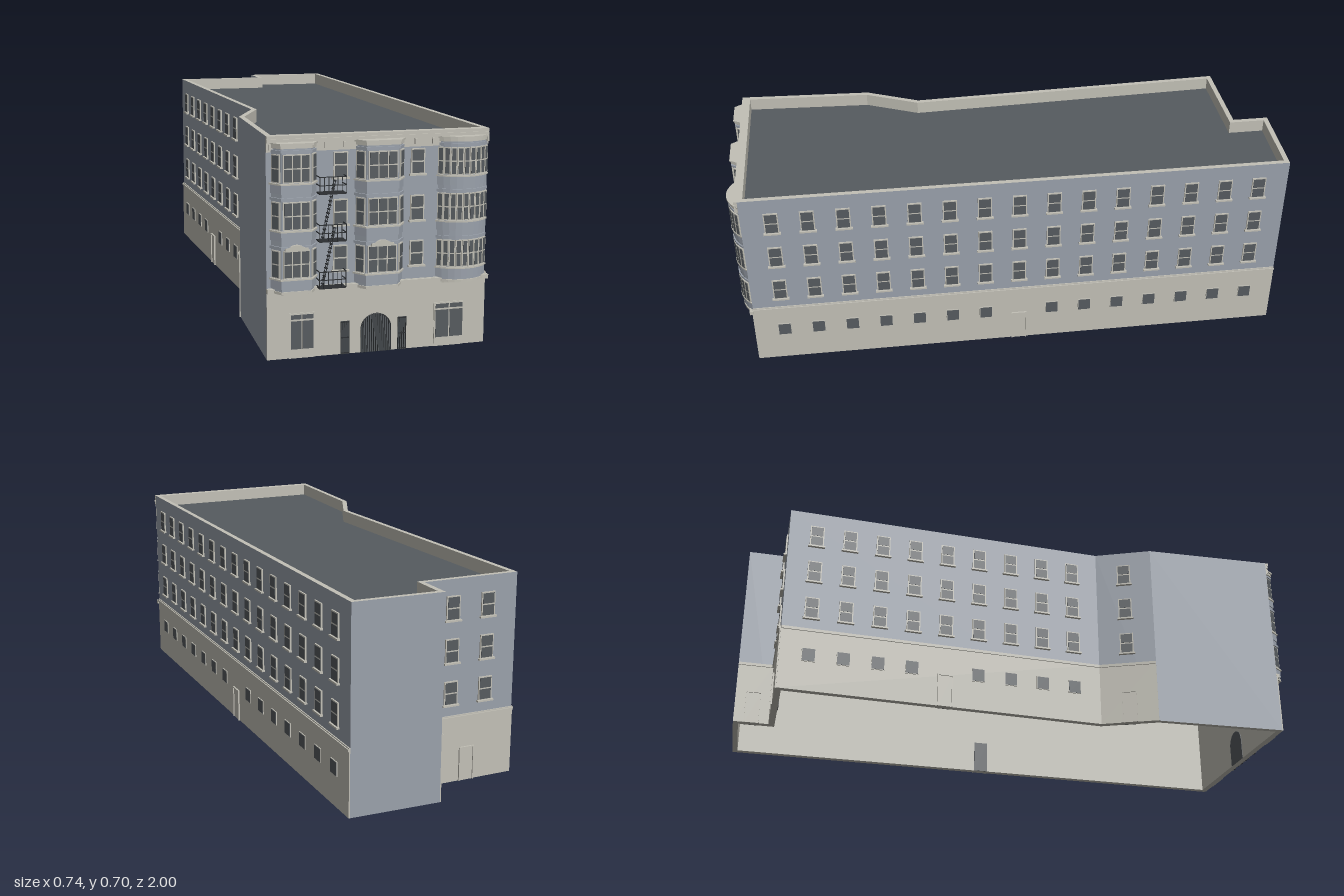
import * as THREE from 'three';

const mat = (name, color) => {
  const m = new THREE.MeshStandardMaterial({ color });
  m.name = name;
  return m;
};
const cream = mat('cream stone', 0xc2c0b6);
const blue = mat('blue grey wall', 0x9aa1ab);
const dark = mat('dark glass and roof', 0x565b5f);
const black = mat('black iron', 0x2b2e31);

const H = 0.7, BASE = 0.235, FRONT = 0.955;
// Footprint corners [x, z], front left corner first, anticlockwise from above
const plan = [[-0.365, FRONT], [0.355, FRONT], [0.36, -0.983], [0.045, -0.998],
  [0.045, -0.868], [-0.298, -0.873], [-0.255, 0.295], [-0.342, 0.485]];

function add(parent, name, geo, material, x = 0, y = 0, z = 0) {
  const m = new THREE.Mesh(geo, material);
  m.name = name;
  m.position.set(x, y, z);
  parent.add(m);
  return m;
}
const box = (p, name, material, w, h, d, x, y, z) =>
  add(p, name, new THREE.BoxGeometry(w, h, d), material, x, y, z);

const group = (parent, name) => {
  const g = new THREE.Group();
  g.name = name;
  parent.add(g);
  return g;
};

const toVec = pts => pts.map(([x, z]) => new THREE.Vector2(x, -z));

// Move every edge of the footprint inwards by d
function inset(pts, d) {
  const n = pts.length;
  return pts.map((p, i) => {
    const a = pts[(i + n - 1) % n], b = pts[(i + 1) % n];
    const u = new THREE.Vector2(p[0] - a[0], p[1] - a[1]).normalize();
    const v = new THREE.Vector2(b[0] - p[0], b[1] - p[1]).normalize();
    const n1 = [u.y, -u.x], n2 = [v.y, -v.x];
    const k = d / (1 + n1[0] * n2[0] + n1[1] * n2[1]);
    return [p[0] + (n1[0] + n2[0]) * k, p[1] + (n1[1] + n2[1]) * k];
  });
}

// Upright prism over a plan outline, optionally hollow
function prism(pts, y0, y1, hole) {
  const s = new THREE.Shape(toVec(pts));
  if (hole) s.holes.push(new THREE.Path(toVec(hole)));
  const g = new THREE.ExtrudeGeometry(s, { depth: y1 - y0, bevelEnabled: false });
  return g.rotateX(-Math.PI / 2).translate(0, y0, 0);
}

// Framed window with a grid of panes; x is its centre, y its bottom
function windowAt(parent, x, y, w, h, cols, rows, { pad = 0.004, bar = 0.005, sill = true, z = 0 } = {}) {
  const g = group(parent, 'window');
  g.position.set(x, y, z);
  box(g, 'windowFrame', cream, w + pad * 2, h + pad * 2, 0.005, 0, h / 2, 0.0025);
  const pw = (w - bar * (cols - 1)) / cols, ph = (h - bar * (rows - 1)) / rows;
  for (let i = 0; i < cols; i++) for (let j = 0; j < rows; j++)
    box(g, 'windowPane', dark, pw, ph, 0.002, -w / 2 + pw / 2 + i * (pw + bar), ph / 2 + j * (ph + bar), 0.005);
  if (sill) box(g, 'windowSill', cream, w + 0.018, 0.006, 0.011, 0, -0.005, 0.0055);
}

// Door with jambs and lintel, dark on the inside
function doorAt(parent, x, w = 0.052, h = 0.118) {
  const g = group(parent, 'door');
  g.position.x = x;
  box(g, 'doorPanel', cream, w, h, 0.006, 0, h / 2, 0.003);
  for (const s of [-1, 1]) box(g, 'doorJamb', cream, 0.004, h, 0.01, s * w / 2, h / 2, 0.005);
  box(g, 'doorLintel', cream, w + 0.004, 0.004, 0.01, 0, h, 0.005);
  box(g, 'doorInside', dark, w, h, 0.002, 0, h / 2, -0.019);
}

// Local frame for one wall: x runs along it, z points outwards
function wallFrame(parent, i, name) {
  const a = plan[i], b = plan[(i + 1) % plan.length];
  const g = group(parent, name);
  g.position.set(a[0], 0, a[1]);
  g.rotation.y = Math.atan2(-(b[1] - a[1]), b[0] - a[0]);
  g.userData.len = Math.hypot(b[0] - a[0], b[1] - a[1]);
  return g;
}

function sideWall(parent, i, name, xs, doors, baseXs) {
  const g = wallFrame(parent, i, name), L = g.userData.len;
  box(g, 'stoneBase', cream, L, BASE, 0.004, L / 2, BASE / 2, 0.002);
  box(g, 'baseLedge', cream, L, 0.008, 0.008, L / 2, BASE - 0.008, 0.004);
  for (const x of xs) for (const y of [0.278, 0.423, 0.567]) windowAt(g, x, y, 0.042, 0.074, 1, 2);
  for (const x of baseXs) windowAt(g, x, 0.11, 0.044, 0.046, 1, 1, { pad: 0.002, sill: false, z: 0.002 });
  for (const x of doors) doorAt(g, x);
}

// Bay with a given plan profile, stacked mouldings and a window on each facet
function bay(parent, name, cx, pts, cols) {
  const g = group(parent, name);
  g.position.x = cx;
  const h = pts[pts.length - 1][0], d = Math.max(...pts.map(p => p[1]));
  const grow = o => pts.map(([x, z]) => [x * (1 + o / h), z * (1 + o / d)]);
  const band = (n, m, y0, y1, o) => add(g, n, prism(grow(o), y0, y1), m);
  band('bayBody', blue, 0.222, 0.672, 0);
  band('bayFoot', cream, 0.209, 0.216, -0.012);
  band('bayFootMoulding', cream, 0.215, 0.223, 0.003);
  for (const y of [0.265, 0.415, 0.56]) {
    band('baySill', cream, y - 0.007, y - 0.002, 0.007);
    band('bayApron', blue, y - 0.034, y - 0.007, 0.003);
    band('bayHead', blue, y + 0.091, y + 0.099, 0.005);
    for (let i = 0; i < pts.length - 1; i++) {
      const [ax, az] = pts[i], [bx, bz] = pts[i + 1];
      const f = group(g, 'bayFacet');
      f.position.set((ax + bx) / 2, 0, (az + bz) / 2);
      f.rotation.y = Math.atan2(az - bz, bx - ax);
      const len = Math.hypot(bx - ax, bz - az), c = cols[i];
      windowAt(f, 0, y + 0.003, len - (c > 1 ? 0.014 : cols.length > 3 ? 0.007 : 0.016), 0.08, c, 2,
        { pad: 0.0033, bar: 0.004, sill: false });
    }
  }
  band('bayCornice', cream, 0.664, 0.674, 0.005);
  band('bayCap', cream, 0.674, 0.68, 0.009);
  return g;
}

// Row of iron bars with height given by a function of x
function bars(parent, x0, x1, n, height, z) {
  for (let i = 0; i <= n; i++) {
    const x = x0 + (x1 - x0) * i / n, h = height(x);
    box(parent, 'ironBar', black, 0.0026, h, 0.003, x, h / 2, z);
  }
}

function facade(parent) {
  const g = group(parent, 'frontFacade');
  g.position.z = FRONT;
  const mid = -0.005, W = 0.72;
  box(g, 'frontBase', cream, W, 0.228, 0.004, mid, 0.114, 0.002);
  box(g, 'frontLedge', cream, 0.73, 0.014, 0.014, 0, 0.22, 0.005);
  box(g, 'frontFrieze', cream, W, 0.05, 0.005, mid, 0.675, 0.0025);
  box(g, 'frontCornice', cream, W, 0.01, 0.01, mid, 0.684, 0.005);
  box(g, 'frontCoping', cream, W, 0.01, 0.012, mid, 0.695, 0.006);
  for (const x of [-0.355, -0.18, -0.12, 0.112, 0.17, 0.352])
    box(g, 'corniceBracket', cream, 0.008, 0.018, 0.012, x, 0.667, 0.006);

  // Flat windows between the bays
  for (const x of [-0.13, 0.121]) for (const y of [0.275, 0.42, 0.567])
    windowAt(g, x, y, 0.038, 0.073, 1, 2);

  // Ground floor shop windows
  for (const [x, w] of [[-0.254, 0.072], [0.234, 0.092]]) {
    box(g, 'shopFrame', cream, w + 0.01, 0.145, 0.006, x, 0.0725, 0.004);
    windowAt(g, x, 0.03, w, 0.09, 2, 1, { bar: 0.004, sill: false, z: 0.004 });
    windowAt(g, x, 0.126, w, 0.014, 2, 1, { pad: 0.002, bar: 0.004, sill: false, z: 0.004 });
  }

  // Arched gate and two narrow side gates
  const gate = group(g, 'archedGate'), r = 0.05, spring = 0.075;
  gate.position.x = -0.012;
  const arch = new THREE.Shape();
  arch.moveTo(-r, 0).lineTo(r, 0).lineTo(r, spring).absarc(0, spring, r, 0, Math.PI, false);
  const archGeo = new THREE.ExtrudeGeometry(arch, { depth: 0.002, bevelEnabled: false, curveSegments: 20 });
  add(gate, 'gateOpening', archGeo, dark, 0, 0, 0.004);
  add(gate, 'gateInside', archGeo, dark, 0, 0, -0.02);
  bars(gate, -0.049, 0.049, 14, x => spring + Math.sqrt(r * r - x * x), 0.007);
  add(gate, 'gateArch', new THREE.TorusGeometry(r, 0.0015, 6, 24, Math.PI), black, 0, spring, 0.007);
  for (const x of [-0.114, 0.075]) {
    const s = group(g, 'sideGate');
    s.position.x = x;
    box(s, 'sideGateOpening', dark, 0.026, 0.107, 0.002, 0, 0.0535, 0.005);
    bars(s, -0.013, 0.013, 4, () => 0.107, 0.007);
    for (const y of [0.004, 0.054, 0.104]) box(s, 'gateRail', black, 0.028, 0.003, 0.003, 0, y, 0.007);
  }

  // Two angled bays and one round bay
  const angled = (h, f) => [[-h, 0], [-f, 0.034], [f, 0.034], [h, 0]];
  bay(g, 'leftHandBay', -0.279, angled(0.07, 0.046), [1, 3, 1]);
  bay(g, 'middleBay', -0.004, angled(0.077, 0.051), [1, 3, 1]);
  const R = 0.114, half = 0.79, n = 9, round = [];
  for (let i = 0; i <= n; i++) {
    const t = -half + 2 * half * i / n;
    round.push([R * Math.sin(t), R * (Math.cos(t) - Math.cos(half))]);
  }
  bay(g, 'roundBay', 0.271, round, Array(n).fill(1));

  // Carved crests over the first floor bay windows
  const crest = new THREE.Shape();
  crest.moveTo(-0.038, 0).lineTo(0.038, 0).lineTo(0.036, 0.01).lineTo(0.024, 0.012);
  crest.quadraticCurveTo(0, 0.028, -0.024, 0.012).lineTo(-0.036, 0.01).closePath();
  for (const x of [-0.279, -0.004])
    add(g, 'crest', new THREE.ExtrudeGeometry(crest, { depth: 0.009, bevelEnabled: false }), cream, x, 0.349, 0.034);
}

function fireEscape(parent) {
  const g = group(parent, 'fireEscape');
  g.position.set(-0.164, 0, FRONT);
  const w = 0.085, d = 0.038, rail = 0.052;
  [0.226, 0.373, 0.521].forEach((y, k) => {
    box(g, 'platform', black, w, 0.004, d, 0, y, d / 2);
    for (const h of [rail, rail / 2]) {
      box(g, 'frontRail', black, w, 0.0025, 0.0025, 0, y + h, d);
      for (const s of [-1, 1]) box(g, 'sideRail', black, 0.0025, 0.0025, d, s * w / 2, y + h, d / 2);
    }
    for (let i = 0; i <= 6; i++)
      box(g, 'railPost', black, 0.002, rail, 0.002, -w / 2 + w * i / 6, y + rail / 2, d);
    if (k === 2) return;
    // Steep stair to the next platform
    for (let i = 0; i < 15; i++)
      box(g, 'stairTread', black, 0.007, 0.0025, 0.016, -0.027 + i * 0.0027, y + 0.01 + i * 0.0125, 0.018);
    for (const z of [0.01, 0.026]) {
      const s = box(g, 'stairStringer', black, 0.002, 0.18, 0.0015, -0.008, y + 0.0975, z);
      s.rotation.z = -Math.atan2(0.038, 0.175);
    }
  });
}

export function createModel() {
  const model = new THREE.Group();
  model.name = 'apartmentBuilding';

  // Outer walls, stone lining with parapet, and roof
  const mid = inset(plan, 0.008), inner = inset(plan, 0.018);
  add(model, 'outerWalls', prism(plan, 0, H, mid), [cream, blue]);
  add(model, 'wallLining', prism(mid, 0, H, inner), cream);
  add(model, 'roof', prism(inner, 0.65, 0.655), dark);

  // Right wall: fifteen bays of windows with a door in the middle
  const right = Array.from({ length: 15 }, (_, i) => 0.105 + i * 0.1234);
  sideWall(model, 1, 'rightWall', right, [right[7]], right.filter((_, i) => i !== 7));
  sideWall(model, 3, 'courtyardSideWall', [], [0.065], []);
  sideWall(model, 4, 'courtyardBackWall', [0.105, 0.235], [0.17], []);
  const left = Array.from({ length: 9 }, (_, i) => 0.1 + i * 0.121);
  sideWall(model, 5, 'leftWall', left, [left[4]], left.filter((_, i) => i !== 4));
  sideWall(model, 6, 'angledLeftWall', [0.105], [0.105], []);

  facade(model);
  fireEscape(model);
  return model;
}
